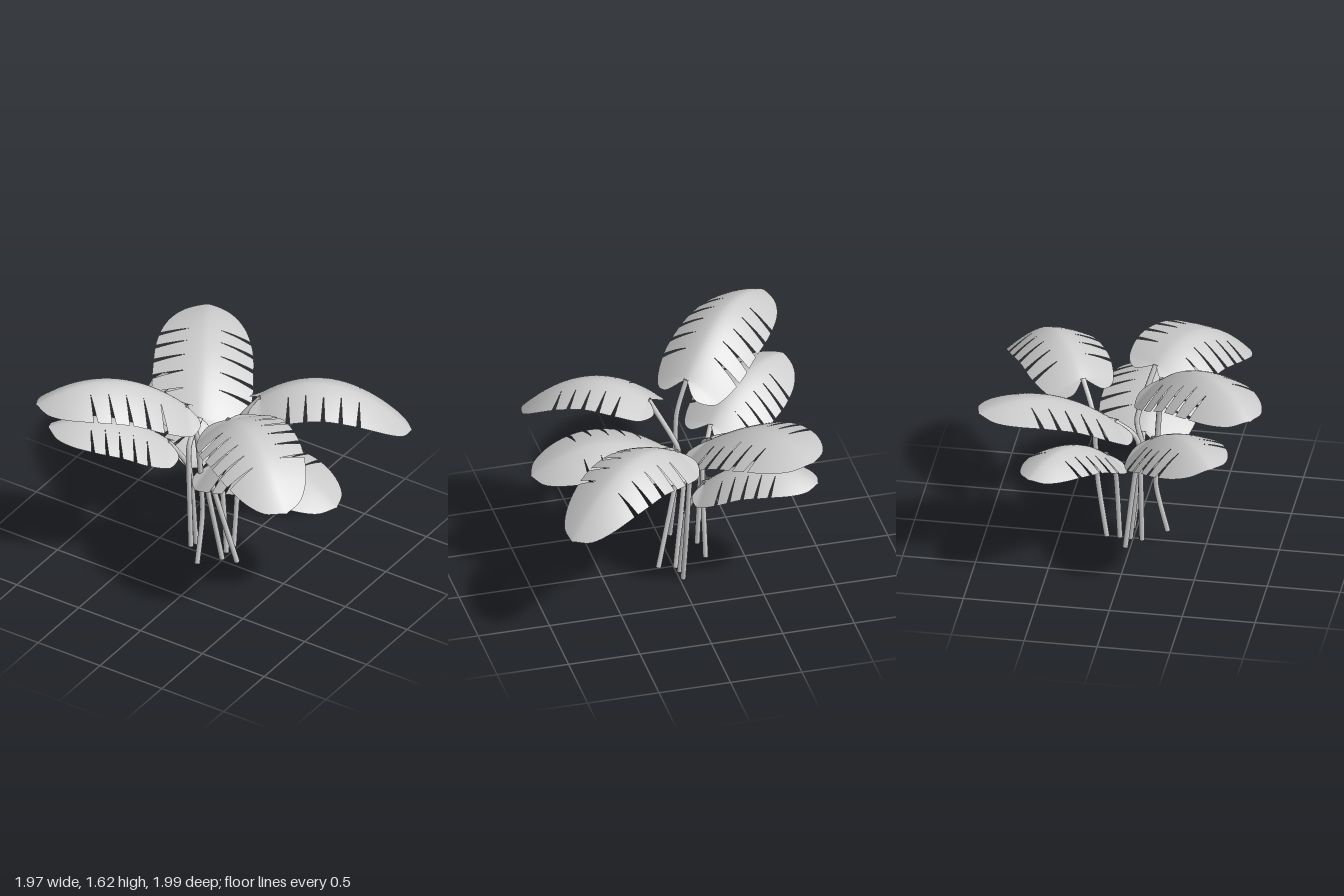
import * as THREE from 'three';
import { mergeVertices } from 'three/addons/utils/BufferGeometryUtils.js';

const material = new THREE.MeshStandardMaterial({ color: 0xcccccc, side: THREE.DoubleSide });
const vec = (p) => new THREE.Vector3(...p);

// Half outline of a blade: (position along the midrib, relative half width)
const outline = new THREE.SplineCurve([
  [0, 0], [-0.08, 0.38], [0.01, 0.78], [0.2, 0.99], [0.4, 1], [0.6, 0.95], [0.8, 0.76], [0.94, 0.44], [1, 0],
].map(([a, w]) => new THREE.Vector2(a, w)));

// Wedge slots that split the blade edge, as outline parameters
const bounds = [0, ...Array.from({ length: 5 }, (_, i) => 0.365 + 0.073 * i), 1];
const slotStart = 0.36;
const slotHalf = 0.008;

// Arched, drooping blade with a notched base and split edges
function bladeGeometry({ base, tip, crest, width, droop }) {
  const b = vec(base), t = vec(tip);
  const control = b.clone().lerp(t, 0.5);
  control.y = 2 * crest - control.y;
  const dir = t.clone().sub(b).setY(0).normalize();
  const side = new THREE.Vector3(-dir.z, 0, dir.x);

  const surface = (along, w) => {
    const k = 1 - along;
    const p = b.clone().multiplyScalar(k * k)
      .addScaledVector(control, 2 * k * along)
      .addScaledVector(t, along * along)
      .addScaledVector(side, w * width);
    if (along < 0) p.y = (p.y + b.y) / 2; // lobes behind the stalk stay flatter
    p.y -= (w > 0 ? droop[0] : droop[1]) * Math.abs(w) ** 1.5;
    return p;
  };

  const positions = [], index = [];
  const cols = 24;
  for (let s = 0; s < bounds.length - 1; s++) {
    const first = s === 0, last = s === bounds.length - 2;
    const rows = first || last ? 16 : 3;
    const start = positions.length / 3;
    for (let i = 0; i <= rows; i++) {
      for (let j = 0; j <= cols; j++) {
        const v = (j / cols) * 2 - 1;
        const gap = slotHalf * Math.max(0, Math.abs(v) - slotStart) / (1 - slotStart);
        const from = bounds[s] + (first ? 0 : gap);
        const to = bounds[s + 1] - (last ? 0 : gap);
        const edge = outline.getPoint(from + (to - from) * (i / rows));
        const spine = Math.max(0, edge.x);
        const along = spine + (edge.x - spine) * Math.abs(v);
        positions.push(...surface(along, edge.y * v).toArray());
        if (i < rows && j < cols) {
          const a = start + i * (cols + 1) + j, c = a + cols + 1;
          index.push(a, c, a + 1, a + 1, c, c + 1);
        }
      }
    }
  }
  const geometry = new THREE.BufferGeometry();
  geometry.setAttribute('position', new THREE.Float32BufferAttribute(positions, 3));
  geometry.setIndex(index);
  const merged = mergeVertices(geometry, 1e-5);
  merged.computeVertexNormals();
  return merged;
}

// Bent stalk from foot to blade, closed at the foot
function makeStem({ foot, knees, base }) {
  const group = new THREE.Group();
  group.name = 'stem';
  const curve = new THREE.CatmullRomCurve3([foot, ...knees, base].map(vec), false, 'catmullrom', 0.3);
  const stalk = new THREE.Mesh(new THREE.TubeGeometry(curve, 28, 0.019, 8), material);
  stalk.name = 'stalk';
  const cap = new THREE.Mesh(new THREE.CircleGeometry(0.019, 8), material);
  cap.name = 'stalkFoot';
  cap.position.copy(vec(foot));
  cap.lookAt(cap.position.clone().sub(curve.getTangent(0)));
  group.add(stalk, cap);
  return group;
}

// crest: midrib height halfway along; droop: drop of the two blade edges
const leaves = [
  { name: 'frontRightUpperLeaf', foot: [-0.04, 0.1, 0.24], knees: [[-0.05, 0.48, 0.16], [-0.07, 1.07, 0.19]],
    base: [-0.15, 1.34, 0.22], tip: [-0.88, 1.49, 0.95], crest: 1.61, width: 0.3, droop: [0.21, 0.16] },
  { name: 'frontRightLowerLeaf', foot: [-0.22, 0.05, -0.02], knees: [[-0.22, 0.7, 0.06]],
    base: [-0.31, 0.97, 0.19], tip: [-0.95, 1.13, 0.69], crest: 1.17, width: 0.29, droop: [0.21, 0.11] },
  { name: 'backRightUpperLeaf', foot: [-0.19, 0.1, 0.09], knees: [[-0.22, 0.87, 0.07]],
    base: [-0.23, 1.03, -0.09], tip: [-0.73, 1.29, -0.94], crest: 1.31, width: 0.34, droop: [0.15, 0.08] },
  { name: 'backRightLowerLeaf', foot: [-0.02, 0.01, -0.09], knees: [[-0.07, 0.52, -0.11]],
    base: [-0.18, 0.74, -0.16], tip: [-0.86, 0.88, -0.58], crest: 0.96, width: 0.25, droop: [0.13, 0.12] },
  { name: 'frontLeftLeaf', foot: [0.11, 0.02, -0.02], knees: [[-0.05, 0.72, 0.07], [-0.03, 0.95, 0.03]],
    base: [0.14, 1.28, 0.13], tip: [0.91, 1.06, 0.59], crest: 1.36, width: 0.31, droop: [0.17, 0.05] },
  { name: 'sideLeftLeaf', foot: [-0.01, 0, -0.02], knees: [[-0.09, 0.68, 0.06]],
    base: [-0.01, 0.84, 0.07], tip: [0.98, 0.84, 0.07], crest: 1.03, width: 0.34, droop: [0.11, 0.11] },
  { name: 'backLeftLeaf', foot: [-0.02, 0.01, -0.18], knees: [[-0.03, 0.45, -0.24], [-0.04, 0.96, -0.27]],
    base: [0.08, 1.16, -0.36], tip: [0.95, 0.91, -0.9], crest: 1.27, width: 0.29, droop: [0.12, 0.16] },
];

export function createModel() {
  const plant = new THREE.Group();
  plant.name = 'plant';
  for (const leaf of leaves) {
    const group = new THREE.Group();
    group.name = leaf.name;
    const blade = new THREE.Mesh(bladeGeometry(leaf), material);
    blade.name = 'blade';
    group.add(blade, makeStem(leaf));
    plant.add(group);
  }
  return plant;
}
